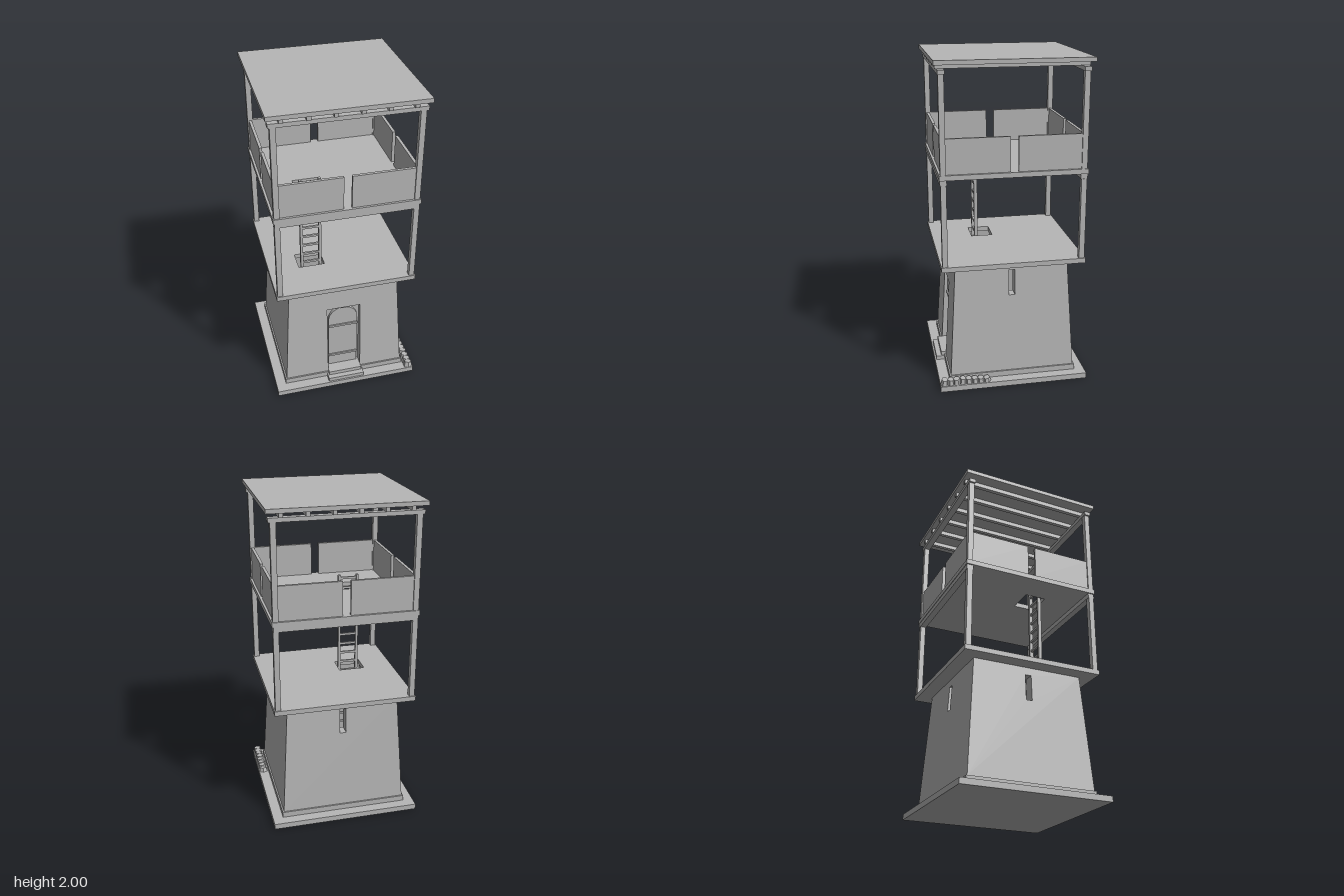
import * as THREE from 'three';

const stone = new THREE.MeshStandardMaterial({ color: 0xb6b6b6 });
stone.name = 'plain grey';

export function createModel() {
  const tower = new THREE.Group();
  tower.name = 'watchtower';

  const add = (name, geometry, parent = tower) => {
    const mesh = new THREE.Mesh(geometry, stone);
    mesh.name = name;
    parent.add(mesh);
    return mesh;
  };
  // box given by its limits on each axis
  const box = (name, x0, x1, y0, y1, z0, z1, parent) => {
    const mesh = add(name, new THREE.BoxGeometry(x1 - x0, y1 - y0, z1 - z0), parent);
    mesh.position.set((x0 + x1) / 2, (y0 + y1) / 2, (z0 + z1) / 2);
    return mesh;
  };
  const rect = (path, x0, x1, y0, y1) =>
    path.moveTo(x0, y0).lineTo(x1, y0).lineTo(x1, y1).lineTo(x0, y1).closePath();
  const extrude = (shape, depth) =>
    new THREE.ExtrudeGeometry(shape, { depth, bevelEnabled: false, curveSegments: 16 });

  // ground slab and plinth
  box('groundSlab', -0.46, 0.46, 0, 0.035, -0.46, 0.46);
  box('plinth', -0.397, 0.397, 0.035, 0.07, -0.397, 0.397);

  // hollow tapered base: four mitred walls leaning inwards
  const low = 0.07, high = 0.775, thick = 0.07;
  const half = y => 0.388 - 0.043 * (y - low) / (high - low);
  const baseWall = (name, hole, angle) => {
    const shape = new THREE.Shape();
    shape.moveTo(-half(low), low).lineTo(half(low), low)
      .lineTo(half(high), high).lineTo(-half(high), high).closePath();
    const path = new THREE.Path();
    rect(path, ...hole);
    shape.holes.push(path);
    const geometry = extrude(shape, thick);
    const p = geometry.attributes.position;
    for (let i = 0; i < p.count; i++) {
      const x = p.getX(i), z = p.getZ(i);
      if (z < thick / 2 && Math.abs(x) > 0.3) p.setX(i, x - Math.sign(x) * thick);
      p.setZ(i, z + half(p.getY(i)) - thick);
    }
    geometry.computeVertexNormals();
    add(name, geometry).rotation.y = angle;
  };
  const slit = [-0.019, 0.019, 0.567, 0.727];
  baseWall('frontWall', [-0.108, 0.108, 0.085, 0.573], 0);
  baseWall('leftWall', slit, Math.PI / 2);
  baseWall('backWall', slit, Math.PI);
  baseWall('rightWall', slit, -Math.PI / 2);

  // arched door in its recess, with bands and steps
  const door = new THREE.Group();
  door.name = 'door';
  tower.add(door);
  box('doorBacking', -0.115, 0.115, 0.07, 0.58, 0.29, 0.325, door);
  const leaf = new THREE.Shape();
  leaf.moveTo(-0.095, 0.085).lineTo(0.095, 0.085).lineTo(0.095, 0.468);
  leaf.absarc(0, 0.468, 0.095, 0, Math.PI, false);
  leaf.closePath();
  add('doorLeaf', extrude(leaf, 0.02), door).position.z = 0.323;
  for (const y of [0.17, 0.42]) box('doorBand', -0.095, 0.095, y - 0.007, y + 0.007, 0.34, 0.352, door);
  box('keystone', -0.02, 0.02, 0.562, 0.573, 0.325, 0.35, door);
  box('lowerStep', -0.118, 0.118, 0.035, 0.06, 0.38, 0.45);
  box('upperStep', -0.108, 0.108, 0.06, 0.085, 0.32, 0.418);

  // two floors with ladder hatches
  const floor = (name, y, height) => {
    const shape = rect(new THREE.Shape(), -0.435, 0.435, -0.435, 0.435);
    const hatch = new THREE.Path();
    rect(hatch, -0.245, -0.08, -0.18, -0.045);
    shape.holes.push(hatch);
    const geometry = extrude(shape, height);
    geometry.rotateX(-Math.PI / 2);
    add(name, geometry).position.y = y;
  };
  floor('lowerFloor', 0.775, 0.03);
  floor('upperFloor', 1.33, 0.03);

  // corner posts and the beams they carry
  for (const s of [-1, 1]) {
    for (const t of [-1, 1]) {
      const x = s * 0.412, z = t * 0.412, r = 0.0165;
      box('lowerPost', x - r, x + r, 0.805, 1.3, z - r, z + r);
      box('upperPost', x - r, x + r, 1.36, 1.925, z - r, z + r);
    }
    const z = s * 0.412;
    box('floorBeam', -0.427, 0.427, 1.3, 1.33, z - 0.02, z + 0.02);
    box('roofBeam', -0.44, 0.44, 1.923, 1.948, z - 0.02, z + 0.02);
  }

  // parapet: two panels with a gap on each side
  for (let i = 0; i < 4; i++) {
    const side = new THREE.Group();
    side.name = 'parapet';
    side.rotation.y = i * Math.PI / 2;
    tower.add(side);
    for (const s of [-1, 1])
      box('parapetPanel', s * 0.21 - 0.186, s * 0.21 + 0.186, 1.36, 1.567, 0.403, 0.421, side);
  }

  // rafters and flat roof
  for (let i = 0; i < 6; i++) {
    const x = -0.37 + i * 0.148;
    box('rafter', x - 0.012, x + 0.012, 1.948, 1.975, -0.44, 0.44);
  }
  box('roof', -0.454, 0.454, 1.975, 2, -0.454, 0.454);

  // ladder through both hatches
  const ladder = new THREE.Group();
  ladder.name = 'ladder';
  tower.add(ladder);
  for (const x of [-0.219, -0.102]) box('ladderRail', x - 0.008, x + 0.008, 0.07, 1.42, 0.138, 0.16, ladder);
  for (let i = 0; i < 21; i++) {
    const y = 0.11 + i * 0.0645;
    box('ladderRung', -0.215, -0.106, y - 0.007, y + 0.007, 0.143, 0.155, ladder);
  }

  // rubble along the front left corner of the slab
  let seed = 7;
  const random = () => (seed = (seed * 16807) % 2147483647) / 2147483647;
  const rubble = new THREE.Group();
  rubble.name = 'rubble';
  tower.add(rubble);
  for (let i = 0; i < 8; i++) {
    const z = 0.172 + i * 0.0375, h = 0.028 + random() * 0.012;
    const geometry = new THREE.CylinderGeometry(0.026, 0.033, h, 6).toNonIndexed();
    geometry.scale(0.9, 1, 0.75);
    geometry.computeVertexNormals();
    const rock = add('rock', geometry, rubble);
    rock.position.set(0.431, 0.033 + h / 2, z);
    rock.rotation.set((random() - 0.5) * 0.25, (random() - 0.5) * 0.3, -0.08);
  }
  return tower;
}
